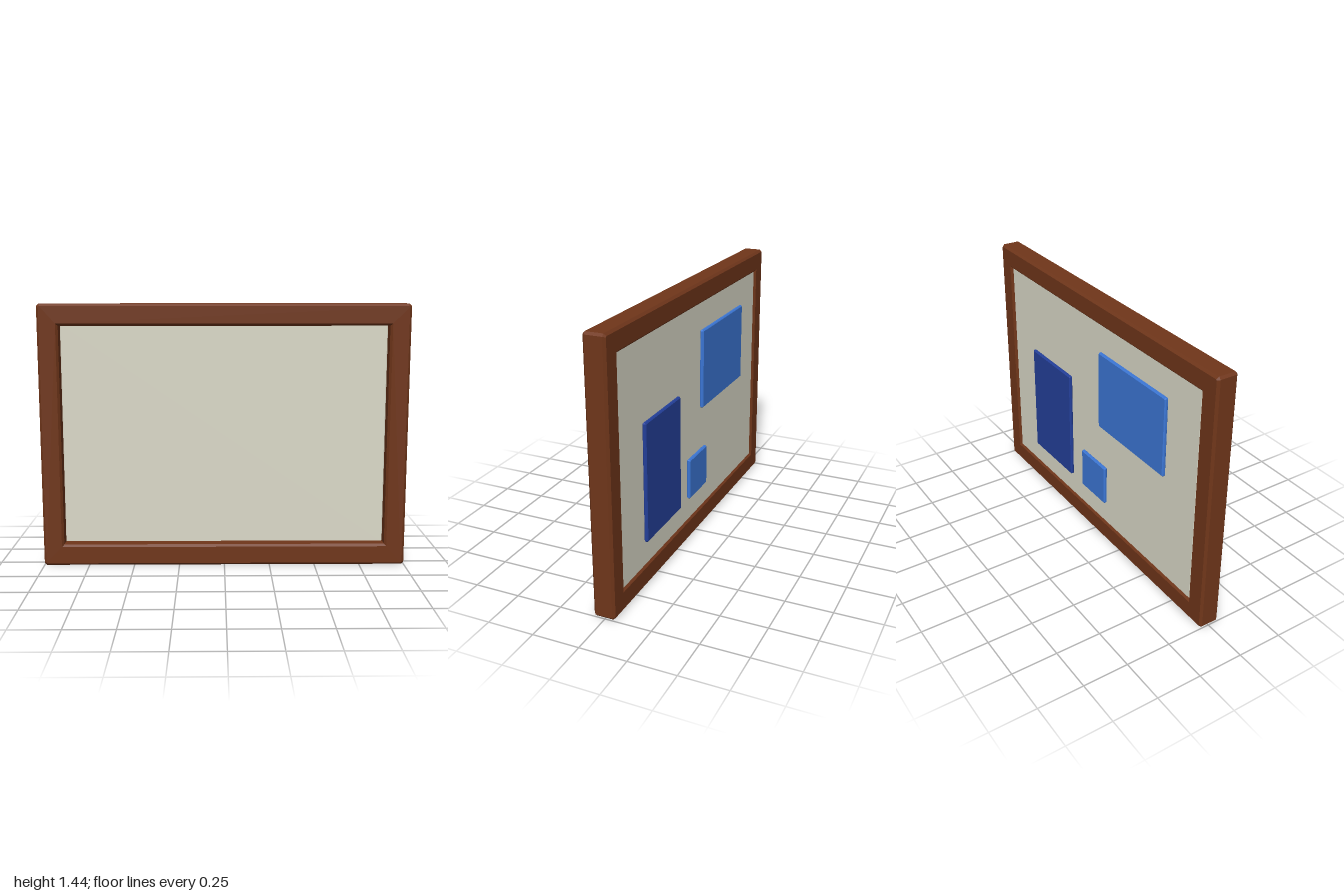
import * as THREE from 'three';

const material = (color) => new THREE.MeshStandardMaterial({ color, flatShading: true });

// Rectangle outline with cut corners
function outline(Type, x0, x1, y0, y1, c) {
  const path = new Type();
  path.setFromPoints([
    [x0 + c, y0], [x1 - c, y0], [x1, y0 + c], [x1, y1 - c],
    [x1 - c, y1], [x0 + c, y1], [x0, y1 - c], [x0, y0 + c],
  ].map(([x, y]) => new THREE.Vector2(x, y)));
  path.closePath();
  return path;
}

// Chamfered slab filling the given box exactly
function slab(name, mat, [x0, x1], [y0, y1], [z0, z1], bevel) {
  const shape = outline(THREE.Shape, x0 + bevel, x1 - bevel, y0 + bevel, y1 - bevel, bevel * 0.3);
  return extrude(name, mat, shape, z0, z1, bevel);
}

function extrude(name, mat, shape, z0, z1, bevel) {
  const geometry = new THREE.ExtrudeGeometry(shape, {
    depth: z1 - z0 - 2 * bevel,
    bevelEnabled: true,
    bevelThickness: bevel,
    bevelSize: bevel,
    bevelSegments: 1,
  });
  geometry.translate(0, 0, z0 + bevel);
  const mesh = new THREE.Mesh(geometry, mat);
  mesh.name = name;
  return mesh;
}

export function createModel() {
  const model = new THREE.Group();
  model.name = 'noticeBoard';
  const wood = material(0x70361a);
  const cork = material(0xdcdac9);
  const navy = material(0x24409b);
  const blue = material(0x3c77d6);

  // Wooden frame, chamfered on the outer and inner edges
  const b = 0.012;
  const frame = outline(THREE.Shape, -1 + b, 1 - b, b, 1.44 - b, 0.005);
  const hole = new THREE.Path();
  hole.setFromPoints([[-0.9, 0.105], [-0.9, 1.335], [0.9, 1.335], [0.9, 0.105]]
    .map(([x, y]) => new THREE.Vector2(x, y)));
  hole.closePath();
  frame.holes.push(hole);
  model.add(extrude('frame', wood, frame, -0.053, 0.062, b));

  // Recessed backing panel
  model.add(slab('panel', cork, [-0.892, 0.892], [0.1, 1.34], [-0.042, -0.014], 0.008));

  // Sheets pinned on the rear side
  const sheetDepth = [-0.062, -0.04];
  model.add(slab('tallSheet', navy, [0.235, 0.645], [0.25, 0.9], sheetDepth, 0.006));
  model.add(slab('wideSheet', blue, [-0.645, -0.06], [0.73, 1.175], sheetDepth, 0.006));
  model.add(slab('smallSheet', blue, [-0.12, 0.115], [0.25, 0.485], sheetDepth, 0.006));

  return model;
}
